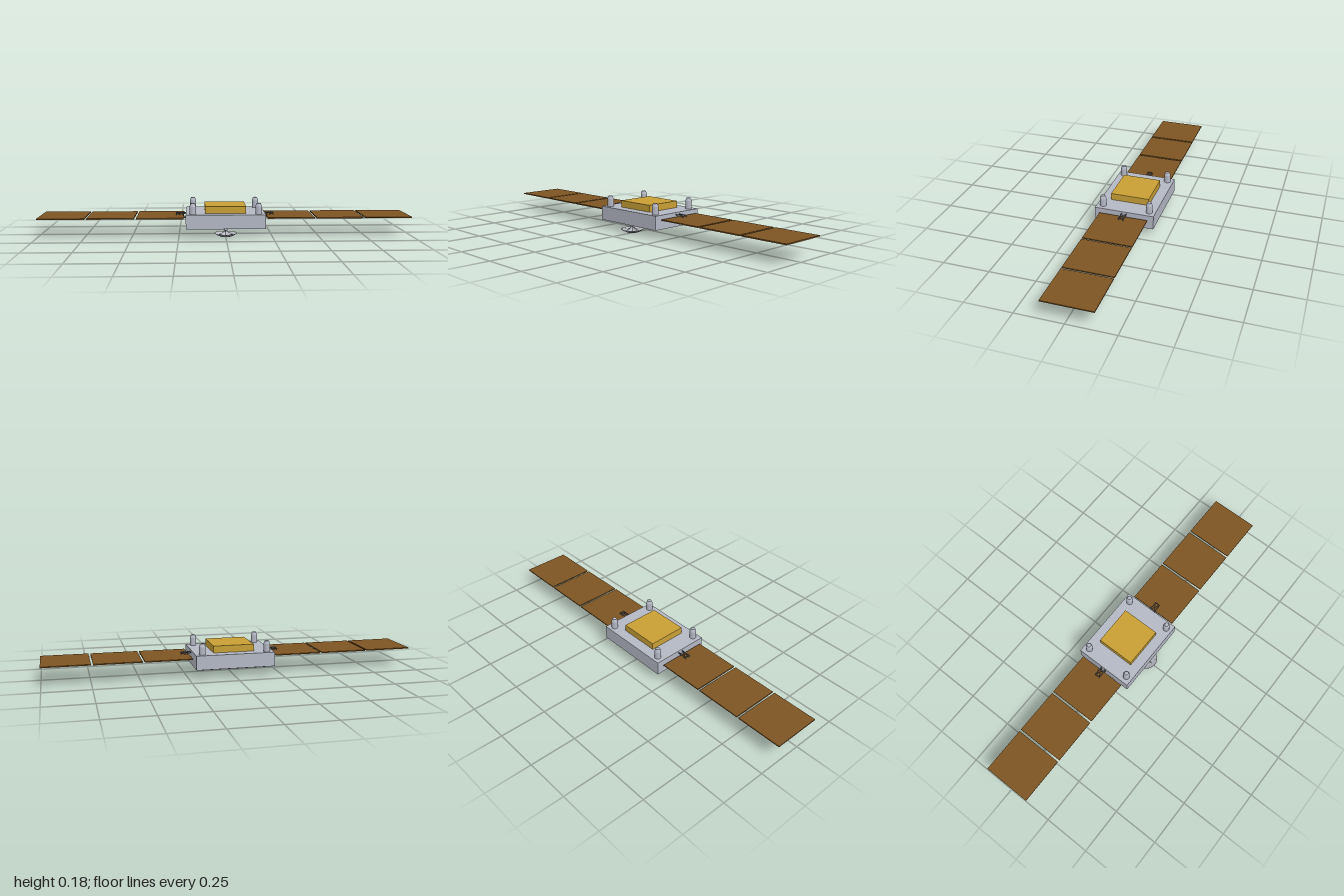
import * as THREE from 'three';

const mat = (name, color, extra = {}) => {
  const m = new THREE.MeshStandardMaterial({ color, ...extra });
  m.name = name;
  return m;
};

export function createModel() {
  const root = new THREE.Group();
  root.name = 'satellite';
  const grey = mat('hull grey', 0xb4b8c4);
  const dishGrey = mat('dish grey', 0xb6b8c0, { side: THREE.DoubleSide });
  const gold = mat('gold foil', 0xc89f35);
  const brown = mat('solar brown', 0x7d5522);
  const dark = mat('radiator dark', 0x363c48);
  const steel = mat('strut grey', 0x686b75);

  const add = (name, geo, material, x = 0, y = 0, z = 0, parent = root) => {
    const m = new THREE.Mesh(geo, material);
    m.name = name;
    m.position.set(x, y, z);
    parent.add(m);
    return m;
  };
  // Box given by its minimum and maximum corners
  const box = (name, material, a, b, parent = root) =>
    add(name, new THREE.BoxGeometry(b[0] - a[0], b[1] - a[1], b[2] - a[2]), material,
      (a[0] + b[0]) / 2, (a[1] + b[1]) / 2, (a[2] + b[2]) / 2, parent);
  // Round bar between two points
  const bar = (name, a, b, r, material, parent = root) => {
    const p = new THREE.Vector3(...a), q = new THREE.Vector3(...b);
    const d = q.clone().sub(p);
    const m = add(name, new THREE.CylinderGeometry(r, r, d.length(), 6), material, 0, 0, 0, parent);
    m.position.copy(p).add(q).multiplyScalar(0.5);
    m.quaternion.setFromUnitVectors(new THREE.Vector3(0, 1, 0), d.normalize());
    return m;
  };

  // Hull and foil-wrapped payload
  box('hull', grey, [-0.212, 0.05, -0.174], [0.212, 0.126, 0.146]);
  box('payload', gold, [-0.11, 0.126, -0.118], [0.11, 0.163, 0.091]);

  // Four capped posts on the corners of the deck
  const post = [[0.0175, 0], [0.0175, 0.042], [0.0175, 0.042], [0.011, 0.058], [0.011, 0.058], [0, 0.06]];
  const postGeo = new THREE.LatheGeometry(post.map(p => new THREE.Vector2(...p)), 16);
  for (const x of [-0.175, 0.175])
    for (const z of [0.113, -0.141]) add('post', postGeo, grey, x, 0.126, z);

  for (const s of [-1, 1]) {
    // Radiator plates under the hull
    const xs = [s * 0.005, s * 0.192].sort((a, b) => a - b);
    box('radiatorPlate', dark, [xs[0], 0.045, -0.157], [xs[1], 0.05, 0.112]);

    // Solar wing of three panels
    for (let i = 0; i < 3; i++)
      add('solarPanel', new THREE.BoxGeometry(0.251, 0.006, 0.262), brown,
        s * (0.3505 + i * 0.262), 0.103, -0.014);

    // Square lattice boom carrying the wing
    const boom = new THREE.Group();
    boom.name = 'wingBoom';
    root.add(boom);
    const h = 0.013, x0 = s * 0.212, x1 = s * 0.265;
    const corners = [[-h, -h], [-h, h], [h, h], [h, -h]].map(([y, z]) => [0.103 + y, z - 0.0145]);
    corners.forEach((c, i) => {
      const n = corners[(i + 1) % 4];
      bar('longeron', [x0, ...c], [x1, ...c], 0.002, steel, boom);
      bar('endFrame', [x1, ...c], [x1, ...n], 0.002, steel, boom);
      bar('brace', [x0, ...c], [x1, ...n], 0.0013, steel, boom);
      bar('brace', [x0, ...n], [x1, ...c], 0.0013, steel, boom);
    });
  }

  // Dish antenna hanging below the front edge
  const dish = new THREE.Group();
  dish.name = 'dishAntenna';
  dish.position.z = 0.113;
  root.add(dish);
  const bowlY = r => 0.004 + 0.021 * (r / 0.061) ** 2;
  const profile = [];
  for (let i = 0; i <= 8; i++) profile.push(new THREE.Vector2(0.061 * i / 8, bowlY(0.061 * i / 8)));
  add('bowl', new THREE.LatheGeometry(profile, 32), dishGrey, 0, 0, 0, dish);
  add('mount', new THREE.CylinderGeometry(0.009, 0.009, 0.012, 16), grey, 0, 0.044, 0, dish);
  bar('feed', [0, 0.004, 0], [0, 0.039, 0], 0.0013, steel, dish);
  for (let i = 0; i < 4; i++) {
    const a = i * Math.PI / 2;
    bar('feedStrut', [0, 0.037, 0], [0.04 * Math.cos(a), bowlY(0.04), 0.04 * Math.sin(a)], 0.001, steel, dish);
  }
  // Ribs along the outside of the bowl
  const ribCurve = new THREE.CatmullRomCurve3(
    [0, 0.02, 0.04, 0.061].map(r => new THREE.Vector3(r, bowlY(r) - 0.001, 0)));
  const ribGeo = new THREE.TubeGeometry(ribCurve, 8, 0.001, 5);
  for (let i = 0; i < 12; i++)
    add('rib', ribGeo, steel, 0, 0, 0, dish).rotation.y = i * Math.PI / 6;

  // Stand the lowest rib on the ground
  root.children.forEach(c => { c.position.y -= 0.002; });
  return root;
}
